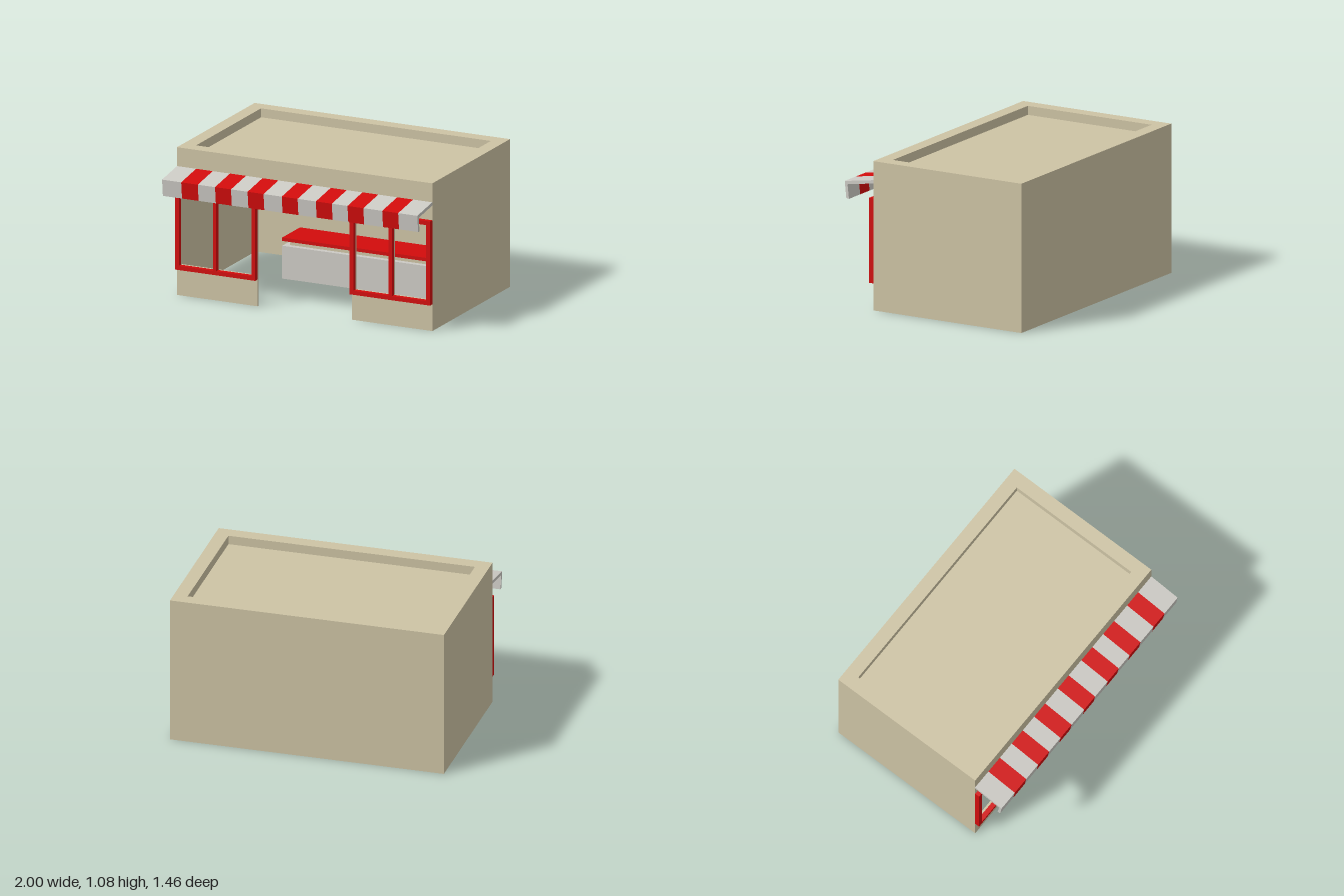
import * as THREE from 'three';

export function createModel() {
  const group = new THREE.Group();
  const mat = (name, color) => {
    const m = new THREE.MeshStandardMaterial({ color });
    m.name = name;
    return m;
  };
  const plaster = mat('beige plaster', 0xcdc3a4);
  const white = mat('off white', 0xcccac4);
  const red = mat('red paint', 0xd20c0c);

  const add = (name, geometry, material, parent = group) => {
    const mesh = new THREE.Mesh(geometry, material);
    mesh.name = name;
    parent.add(mesh);
    return mesh;
  };
  // Box given by its limits on each axis
  const box = (name, x0, x1, y0, y1, z0, z1, material) => {
    const g = new THREE.BoxGeometry(x1 - x0, y1 - y0, z1 - z0);
    g.translate((x0 + x1) / 2, (y0 + y1) / 2, (z0 + z1) / 2);
    return add(name, g, material);
  };
  const outline = (C, pts) => new C(pts.map(([x, y]) => new THREE.Vector2(x, y)));
  const rect = (C, x0, y0, x1, y1) => outline(C, [[x0, y0], [x1, y0], [x1, y1], [x0, y1]]);
  const extrude = (shape, depth) => new THREE.ExtrudeGeometry(shape, { depth, bevelEnabled: false });

  const T = 0.015, FRONT = 0.49, BACK = -0.73, CEIL = 0.97, TOP = 1.08;

  // Window panes, two on each side of the doorway
  const panes = [];
  for (const s of [-1, 1]) {
    for (const [a, b] of [[0.4, 0.675], [0.702, 0.968]]) {
      panes.push({ s, x0: Math.min(s * a, s * b), x1: Math.max(s * a, s * b) });
    }
  }
  const cutPanes = (shape, list) => {
    for (const p of list) shape.holes.push(rect(THREE.Path, p.x0, 0.225, p.x1, 0.78));
  };

  // Front wall with the open doorway
  const wall = outline(THREE.Shape, [
    [-1, 0], [-0.37, 0], [-0.37, 0.81], [0.37, 0.81], [0.37, 0], [1, 0], [1, CEIL], [-1, CEIL],
  ]);
  cutPanes(wall, panes);
  add('frontWall', extrude(wall, T), plaster).position.z = FRONT - T;

  // Remaining walls
  box('backWall', -1, 1, 0, CEIL, BACK, BACK + T, plaster);
  box('leftWall', 1 - T, 1, 0, CEIL, BACK + T, FRONT - T, plaster);
  box('rightWall', -1, -1 + T, 0, CEIL, BACK + T, FRONT - T, plaster);

  // Parapet ring around the sunken roof
  const ring = rect(THREE.Shape, -1, -FRONT, 1, -BACK);
  ring.holes.push(rect(THREE.Path, -0.9, -0.39, 0.9, 0.63));
  const ringGeo = extrude(ring, TOP - CEIL);
  ringGeo.rotateX(-Math.PI / 2);
  add('parapet', ringGeo, plaster).position.y = CEIL;
  box('roof', -0.9, 0.9, CEIL, 1.015, -0.63, 0.39, plaster);

  // Red window frames
  for (const s of [-1, 1]) {
    const frame = rect(THREE.Shape, s < 0 ? -1 : 0.37, 0.195, s < 0 ? -0.37 : 1, 0.81);
    cutPanes(frame, panes.filter((p) => p.s === s));
    add(s < 0 ? 'rightWindowFrame' : 'leftWindowFrame', extrude(frame, 0.035), red).position.z = FRONT;
  }

  // Striped awning, cut into sections along x
  const profile = outline(THREE.Shape, [
    [0.49, 0.918], [0.702, 0.884], [0.69, 0.78], [0.712, 0.783], [0.725, 0.905], [0.49, 0.942],
  ]);
  const awning = new THREE.Group();
  awning.name = 'awning';
  group.add(awning);
  const cuts = [-1, -0.85, -0.72, -0.585, -0.46, -0.33, -0.205, -0.062,
    0.062, 0.205, 0.33, 0.453, 0.577, 0.725, 0.85, 1];
  for (let i = 0; i < cuts.length - 1; i++) {
    const g = extrude(profile, cuts[i + 1] - cuts[i]);
    g.rotateY(-Math.PI / 2);
    g.translate(cuts[i + 1], 0, 0);
    add(i % 2 ? 'redAwningStripe' : 'whiteAwningStripe', g, i % 2 ? red : white, awning);
  }

  // Counter: hollow shell open at the bottom, with a raised red worktop
  const cx0 = -0.52, cx1 = 1 - T, cz0 = -0.48, cz1 = -0.2, t = 0.006;
  box('counterFront', cx0, cx1, 0, 0.24, cz1 - t, cz1, white);
  box('counterBack', cx0, cx1, 0, 0.24, cz0, cz0 + t, white);
  box('counterEnd', cx0, cx0 + t, 0, 0.24, cz0 + t, cz1 - t, white);
  box('counterTop', cx0 + t, cx1, 0.24 - t, 0.24, cz0 + t, cz1 - t, white);
  box('worktopSupport', cx0 + 0.04, cx1, 0.24, 0.275, cz0 + 0.04, cz1 - 0.04, plaster);
  box('worktop', cx0, cx1, 0.275, 0.3, cz0, cz1, red);

  return group;
}
